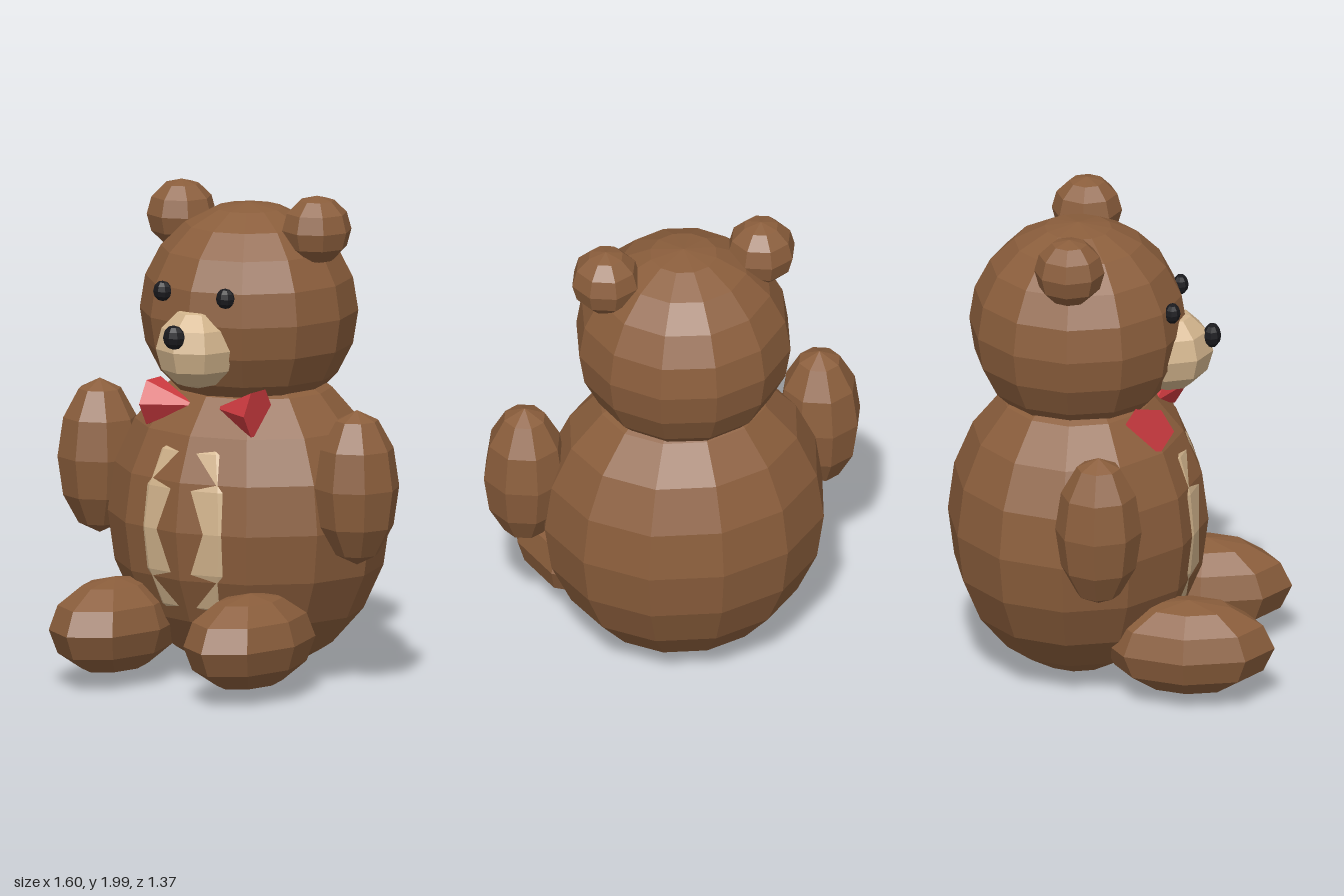
import * as THREE from 'three';

const flat = (color) => new THREE.MeshStandardMaterial({ color, flatShading: true });

export function createModel() {
  const bear = new THREE.Group();
  bear.name = 'teddyBear';
  const fur = flat(0x8b5e3c), tan = flat(0xd2b48c), black = flat(0x1a1a1e), red = flat(0xcc3a3f);

  // Faceted ellipsoid: centre, radii, sides around and rings
  function blob(name, material, centre, radii, sides = 8, rings = 6) {
    const mesh = new THREE.Mesh(new THREE.SphereGeometry(1, sides, rings), material);
    mesh.name = name;
    mesh.position.set(...centre);
    mesh.scale.set(...radii);
    bear.add(mesh);
    return mesh;
  }

  // Body and head
  blob('body', fur, [0, 0.66, -0.15], [0.59, 0.65, 0.53], 12, 10);
  blob('head', fur, [0, 1.5, -0.15], [0.443, 0.44, 0.443], 12, 10);

  // Belly patch, just breaking through the fur
  blob('bellyPatch', tan, [0, 0.66, 0.133], [0.36, 0.45, 0.24], 12, 8);

  // Face
  blob('muzzle', tan, [0, 1.4, 0.22], [0.17, 0.17, 0.18]);
  blob('nose', black, [0, 1.467, 0.395], [0.05, 0.05, 0.037]);

  for (const [side, s] of [['left', 1], ['right', -1]]) {
    blob(side + 'Eye', black, [s * 0.153, 1.62, 0.25], [0.042, 0.042, 0.033]);
    blob(side + 'Ear', fur, [s * 0.33, 1.86, -0.15], [0.143, 0.14, 0.143]);
    blob(side + 'Arm', fur, [s * 0.627, 0.855, 0], [0.173, 0.318, 0.176]);
    blob(side + 'Leg', fur, [s * 0.328, 0.242, 0.335], [0.22, 0.197, 0.35]);

    // Bow tie loop: six-sided cone pointing to the middle
    const loop = new THREE.Mesh(new THREE.ConeGeometry(0.105, 0.205, 6), red);
    loop.name = side + 'BowLoop';
    loop.position.set(s * 0.1525, 1.145, 0.163);
    loop.rotation.z = s * Math.PI / 2;
    bear.add(loop);
  }
  return bear;
}
